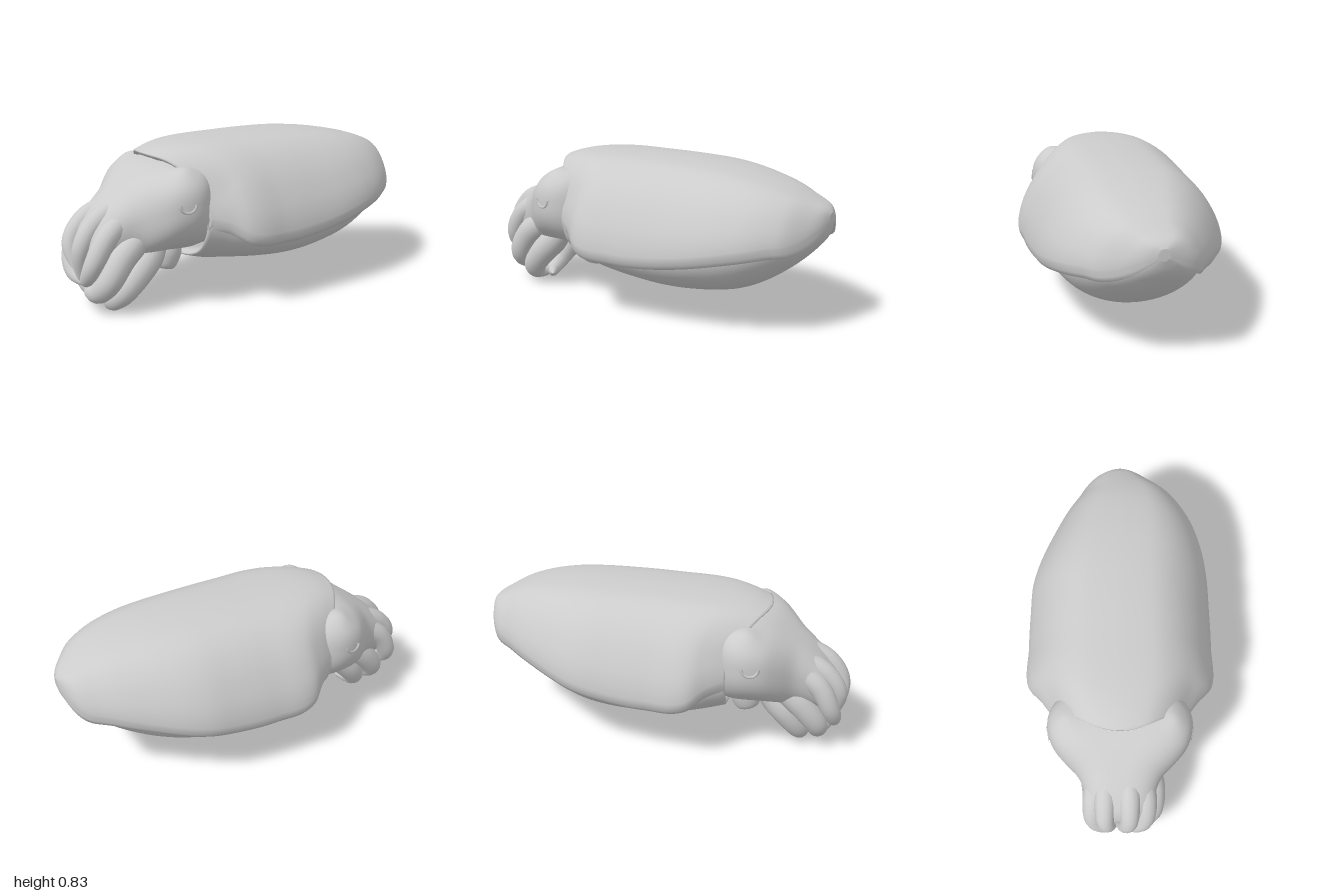
import * as THREE from 'three';

const skin = new THREE.MeshStandardMaterial({ color: 0xcccccc, roughness: 0.8 });
const skinDouble = new THREE.MeshStandardMaterial({ color: 0xcccccc, roughness: 0.8, side: THREE.DoubleSide });
const smooth = THREE.MathUtils.smoothstep;

function addMesh(parent, name, geometry, material = skin) {
  const mesh = new THREE.Mesh(geometry, material);
  mesh.name = name;
  parent.add(mesh);
  return mesh;
}

// Smoothly samples a table whose rows are [z, value, value, ...]
function sampleRows(rows, steps) {
  const size = rows[0].length;
  const curve = new THREE.CubicInterpolant(rows.map(r => r[0]), rows.flat(), size);
  const first = rows[0][0], span = rows[rows.length - 1][0] - first;
  const out = [];
  for (let i = 0; i <= steps; i++) {
    // denser towards both ends
    const t = 0.5 - 0.5 * Math.cos(Math.PI * i / steps);
    out.push([...curve.evaluate(first + span * t)]);
  }
  return out;
}

// Skins closed rings, counter-clockwise seen from +z, and caps both ends
function loft(rings) {
  const n = rings[0].length, pos = [], index = [];
  rings.forEach(ring => ring.forEach(p => pos.push(p.x, p.y, p.z)));
  for (let i = 0; i < rings.length - 1; i++) {
    for (let j = 0; j < n; j++) {
      const k = (j + 1) % n;
      const a = i * n + j, b = i * n + k, c = a + n, d = b + n;
      index.push(a, b, c, b, d, c);
    }
  }
  [0, rings.length - 1].forEach(r => {
    const mid = new THREE.Vector3();
    rings[r].forEach(p => mid.addScaledVector(p, 1 / n));
    const m = pos.length / 3;
    pos.push(mid.x, mid.y, mid.z);
    for (let j = 0; j < n; j++) {
      const a = r * n + j, b = r * n + (j + 1) % n;
      if (r === 0) index.push(m, b, a); else index.push(m, a, b);
    }
  });
  const g = new THREE.BufferGeometry();
  g.setAttribute('position', new THREE.Float32BufferAttribute(pos, 3));
  g.setIndex(index);
  g.computeVertexNormals();
  return g;
}

// Unit profile of the back: flat on top, sloping evenly to the fin rim
const dome = new THREE.SplineCurve([[1, 0], [0.985, 0.13], [0.935, 0.31], [0.83, 0.54], [0.71, 0.72],
  [0.57, 0.86], [0.4, 0.955], [0.2, 0.99], [0, 1]].map(p => new THREE.Vector2(...p))).getPoints(24);

// Mantle: flat-topped back flaring into the fin rim, tucked in above a round belly
function mantleGeometry() {
  // z, fin half width, top, fin height, belly half width, bottom
  const rows = [
    [-1.0, 0.03, 0.63, 0.58, 0.02, 0.57],
    [-0.985, 0.09, 0.65, 0.54, 0.06, 0.52],
    [-0.93, 0.20, 0.685, 0.475, 0.14, 0.44],
    [-0.8, 0.32, 0.745, 0.45, 0.26, 0.32],
    [-0.6, 0.425, 0.795, 0.41, 0.35, 0.2],
    [-0.4, 0.485, 0.82, 0.37, 0.4, 0.15],
    [-0.2, 0.5, 0.83, 0.34, 0.415, 0.137],
    [0.0, 0.505, 0.832, 0.33, 0.415, 0.155],
    [0.23, 0.495, 0.825, 0.355, 0.4, 0.185],
    [0.31, 0.43, 0.81, 0.41, 0.385, 0.19],
    [0.385, 0.375, 0.785, 0.43, 0.36, 0.21]
  ];
  const rings = sampleRows(rows, 64).map(([z, w, top, fin, wb, bottom]) => {
    const half = [], drop = Math.min(0.05, (top - fin) * 0.3);
    const yc = fin + drop * 0.5;
    for (let i = 0; i <= 14; i++) {
      const a = Math.PI / 2 * i / 14;
      half.push([wb * Math.sin(a), yc - (yc - bottom) * Math.cos(a)]);
    }
    half.push([wb + (w - wb) * 0.5, fin + drop * 0.05], [w * 0.955, fin - drop * 0.15], [w * 0.99, fin + drop * 0.3]);
    const yu = fin + drop * 0.9;
    dome.forEach(p => half.push([w * p.x, yu + (top - yu) * p.y]));
    const left = half.slice(1, -1).reverse().map(([x, y]) => [-x, y]);
    // the tail leans slightly to one side
    const lean = 0.035 * smooth(-z, 0.3, 0.75) * (1 - smooth(-z, 0.85, 0.97));
    return [...half, ...left].map(([x, y]) => {
      // the shield reaches forward over the head, the belly edge stays back
      const front = smooth(z, -0.1, 0.385);
      const reach = 0.17 * smooth(y, 0.5, 0.72) * Math.max(0, 1 - (x / 0.38) ** 2) ** 1.4;
      const retreat = 0.03 * (1 - smooth(y, 0.2, 0.36));
      return new THREE.Vector3(x + lean, y, z + front * (reach - retreat));
    });
  });
  // thick rounded lip turning back inside the opening
  const rim = rings[rings.length - 1];
  [[0.985, 0.012], [0.955, 0.012], [0.91, -0.005], [0.86, -0.06]].forEach(([s, dz]) =>
    rings.push(rim.map(p => new THREE.Vector3(p.x * s, 0.5 + (p.y - 0.5) * s, p.z + dz))));
  return loft(rings);
}

// Head: broad and boxy across the eyes, narrowing to the root of the arms
function headGeometry() {
  // z, half width, top, bottom, squareness of the upper half
  const rows = [
    [0.24, 0.28, 0.67, 0.28, 0.7],
    [0.34, 0.32, 0.735, 0.27, 0.6],
    [0.4, 0.36, 0.742, 0.27, 0.53],
    [0.46, 0.378, 0.737, 0.275, 0.5],
    [0.53, 0.372, 0.725, 0.28, 0.5],
    [0.6, 0.342, 0.7, 0.275, 0.54],
    [0.66, 0.288, 0.665, 0.26, 0.62],
    [0.72, 0.225, 0.625, 0.25, 0.7],
    [0.8, 0.185, 0.565, 0.24, 0.75],
    [0.88, 0.155, 0.49, 0.235, 0.8],
    [0.93, 0.1, 0.42, 0.25, 0.85],
    [0.945, 0.04, 0.37, 0.3, 0.9]
  ];
  const power = (v, e) => Math.sign(v) * Math.abs(v) ** e;
  return loft(sampleRows(rows, 48).map(([z, w, top, bottom, square]) =>
    Array.from({ length: 72 }, (_, j) => {
      const a = j / 72 * Math.PI * 2, s = Math.sin(a), c = Math.cos(a);
      const mid = bottom + (top - bottom) * 0.56;
      const x = w * power(c, s > 0 ? square : 0.85);
      const y = mid + (s > 0 ? (top - mid) * power(s, square + 0.15) : (mid - bottom) * power(s, 0.95));
      // low brow above each eye
      const brow = 0.02 * smooth(y, 0.6, 0.7) * Math.exp(-((Math.abs(x) - 0.28) ** 2 + (z - 0.49) ** 2) / 0.003);
      return new THREE.Vector3(x, y + brow, z);
    })));
}

// Tapered tube that swells out of the head and ends in a rounded tip
function armGeometry(points, radius) {
  const curve = new THREE.CatmullRomCurve3(points.map(p => new THREE.Vector3(...p)));
  const n = 36, sides = 14;
  const g = new THREE.TubeGeometry(curve, n, 1, sides);
  const pos = g.attributes.position, v = new THREE.Vector3();
  for (let i = 0; i <= n; i++) {
    const t = i / n, p = curve.getPointAt(t);
    const r = radius * (0.55 + 0.45 * smooth(t, 0, 0.3)) * (1 - 0.45 * t * t) * Math.sqrt(1 - t ** 8);
    for (let j = 0; j <= sides; j++) {
      const k = i * (sides + 1) + j;
      v.fromBufferAttribute(pos, k).sub(p).multiplyScalar(r).add(p);
      pos.setXYZ(k, v.x, v.y, v.z);
    }
  }
  return g;
}

export function createModel() {
  const model = new THREE.Group();
  model.name = 'cuttlefish';
  addMesh(model, 'mantle', mantleGeometry());
  addMesh(model, 'head', headGeometry());

  // Curved pupil slit on each eye
  for (const side of [1, -1]) {
    const slit = addMesh(model, side > 0 ? 'leftPupilSlit' : 'rightPupilSlit',
      new THREE.TorusGeometry(0.042, 0.009, 8, 20, Math.PI));
    slit.rotation.set(Math.PI, Math.PI / 2 - side * 0.2, 0, 'YXZ');
    slit.position.set(side * 0.368, 0.575, 0.525);
  }

  // Arms curling forward and down, upper pairs first
  const arms = [
    ['innerRightArm', 0.058, [[-0.07, 0.54, 0.71], [-0.08, 0.45, 0.88], [-0.075, 0.35, 0.95], [-0.035, 0.215, 0.945]]],
    ['innerLeftArm', 0.058, [[0.045, 0.56, 0.69], [0.05, 0.46, 0.88], [0.045, 0.35, 0.95], [-0.005, 0.16, 0.935]]],
    ['upperRightArm', 0.062, [[-0.11, 0.52, 0.66], [-0.14, 0.4, 0.85], [-0.135, 0.27, 0.92], [-0.08, 0.185, 0.935], [0, 0.14, 0.91]]],
    ['upperLeftArm', 0.062, [[0.1, 0.53, 0.66], [0.135, 0.41, 0.85], [0.125, 0.28, 0.925], [0.075, 0.2, 0.935], [-0.015, 0.14, 0.91]]],
    ['lowerLeftArm', 0.075, [[0.13, 0.45, 0.58], [0.17, 0.31, 0.78], [0.155, 0.18, 0.86], [0.08, 0.11, 0.88], [-0.08, 0.085, 0.87]]],
    ['lowerRightArm', 0.074, [[-0.12, 0.43, 0.58], [-0.135, 0.28, 0.76], [-0.1, 0.15, 0.85], [-0.03, 0.085, 0.84], [0.06, 0.065, 0.78]]],
    ['bottomLeftArm', 0.08, [[0.12, 0.38, 0.52], [0.16, 0.21, 0.69], [0.135, 0.1, 0.78], [0.07, 0.05, 0.8], [-0.01, 0.04, 0.75]]],
    ['bottomRightArm', 0.074, [[-0.11, 0.38, 0.52], [-0.12, 0.21, 0.68], [-0.07, 0.095, 0.75], [0, 0.045, 0.75], [0.06, 0.034, 0.71]]]
  ];
  arms.forEach(([name, radius, points]) => addMesh(model, name, armGeometry(points, radius)));

  // Siphon: a short open funnel under the neck
  const funnel = [[0.07, 0.18], [0.085, 0.1], [0.078, 0.04], [0.066, 0.01], [0.05, 0], [0.038, 0.01], [0.033, 0.06], [0, 0.08]];
  const profile = new THREE.SplineCurve(funnel.map(p => new THREE.Vector2(...p))).getPoints(28);
  profile[profile.length - 1].x = 0;
  const siphon = addMesh(model, 'siphon', new THREE.LatheGeometry(profile, 28), skinDouble);
  siphon.position.set(0, 0.15, 0.46);
  siphon.rotation.x = -0.25;

  return model;
}
